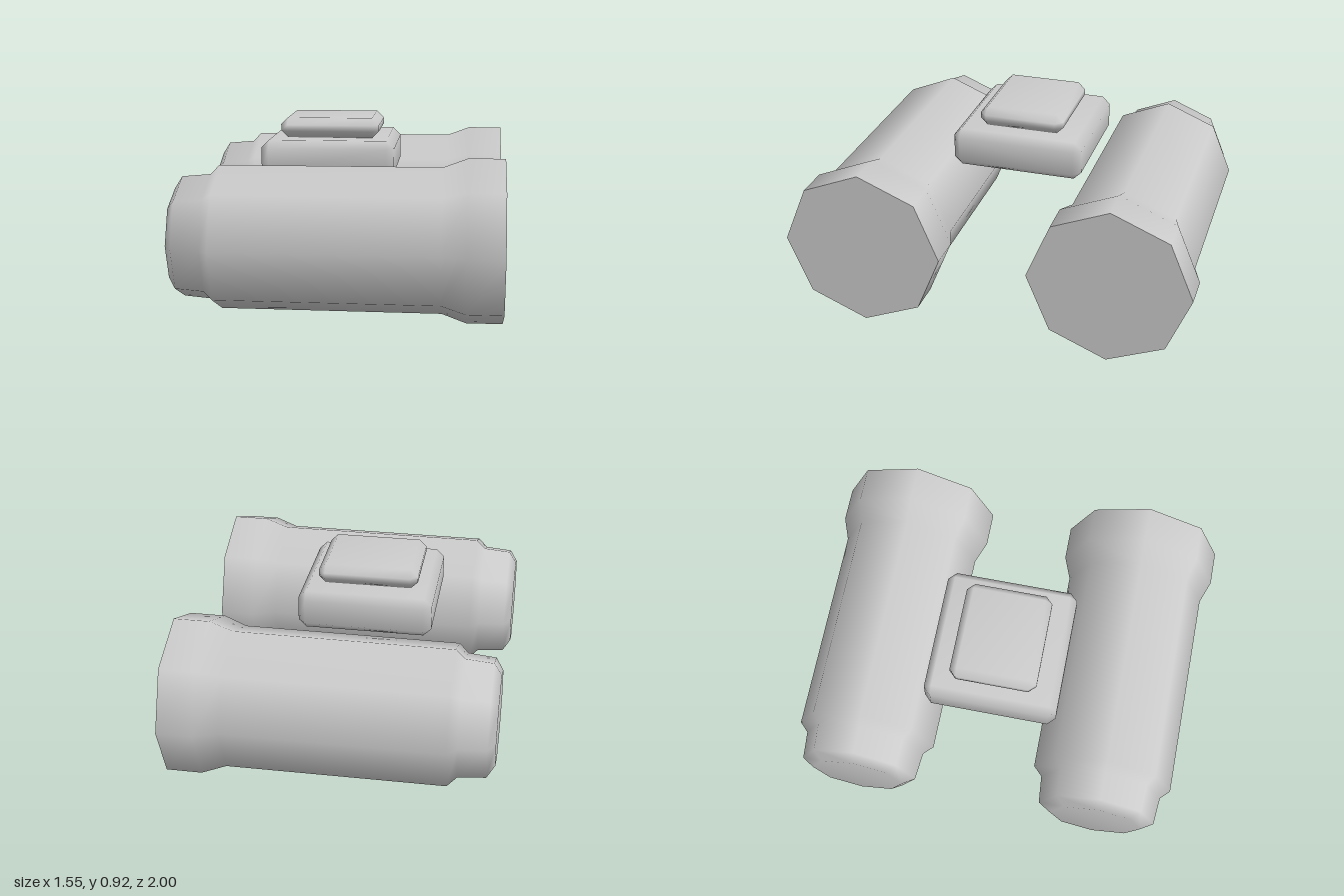
import * as THREE from 'three';
import { mergeVertices } from 'three/addons/utils/BufferGeometryUtils.js';
import { ConvexGeometry } from 'three/addons/geometries/ConvexGeometry.js';

const grey = new THREE.MeshStandardMaterial({ color: 0xcccccc });
grey.name = 'light grey';

// Box with one chamfer on every edge and smooth, area-weighted normals
function bevelledBox(w, h, d, bevel) {
  const half = [w / 2, h / 2, d / 2];
  const points = [];
  for (let axis = 0; axis < 3; axis++) {
    for (let corner = 0; corner < 8; corner++) {
      const p = half.map((s, i) => (i === axis ? s : s - bevel) * (corner & (1 << i) ? 1 : -1));
      points.push(new THREE.Vector3(...p));
    }
  }
  let geometry = new ConvexGeometry(points);
  geometry.deleteAttribute('normal');
  geometry = mergeVertices(geometry, 1e-4);
  geometry.computeVertexNormals();
  return geometry;
}

function addMesh(parent, name, geometry, x, y, z) {
  const mesh = new THREE.Mesh(geometry, grey);
  mesh.name = name;
  mesh.position.set(x, y, z);
  parent.add(mesh);
  return mesh;
}

export function createModel() {
  const model = new THREE.Group();
  model.name = 'twinTubes';

  // Eight-sided barrel profile: radius, position along x
  const profile = [
    [0, -0.777], [0.23, -0.777], [0.29, -0.74], [0.302, -0.605],
    [0.347, -0.56], [0.35, 0.49], [0.393, 0.605], [0.393, 0.777],
  ].map(([r, x]) => new THREE.Vector2(r, x));
  const barrel = new THREE.LatheGeometry(profile, 8).rotateZ(-Math.PI / 2);
  const endCap = new THREE.CircleGeometry(0.393, 8).rotateY(Math.PI / 2);

  // Matching tubes on both sides
  for (const side of [1, -1]) {
    const tube = new THREE.Group();
    tube.name = side > 0 ? 'frontTube' : 'backTube';
    tube.position.set(0, 0.395, side * 0.607);
    addMesh(tube, 'barrel', barrel, 0, 0, 0);
    addMesh(tube, 'endCap', endCap, 0.777, 0, 0);
    model.add(tube);
  }

  // Bridge joining the tubes, with a raised pad on top
  addMesh(model, 'bridge', bevelledBox(0.655, 0.195, 0.655, 0.038), -0.085, 0.724, 0);
  addMesh(model, 'topPad', bevelledBox(0.49, 0.1, 0.425, 0.035), -0.085, 0.871, 0);

  return model;
}
